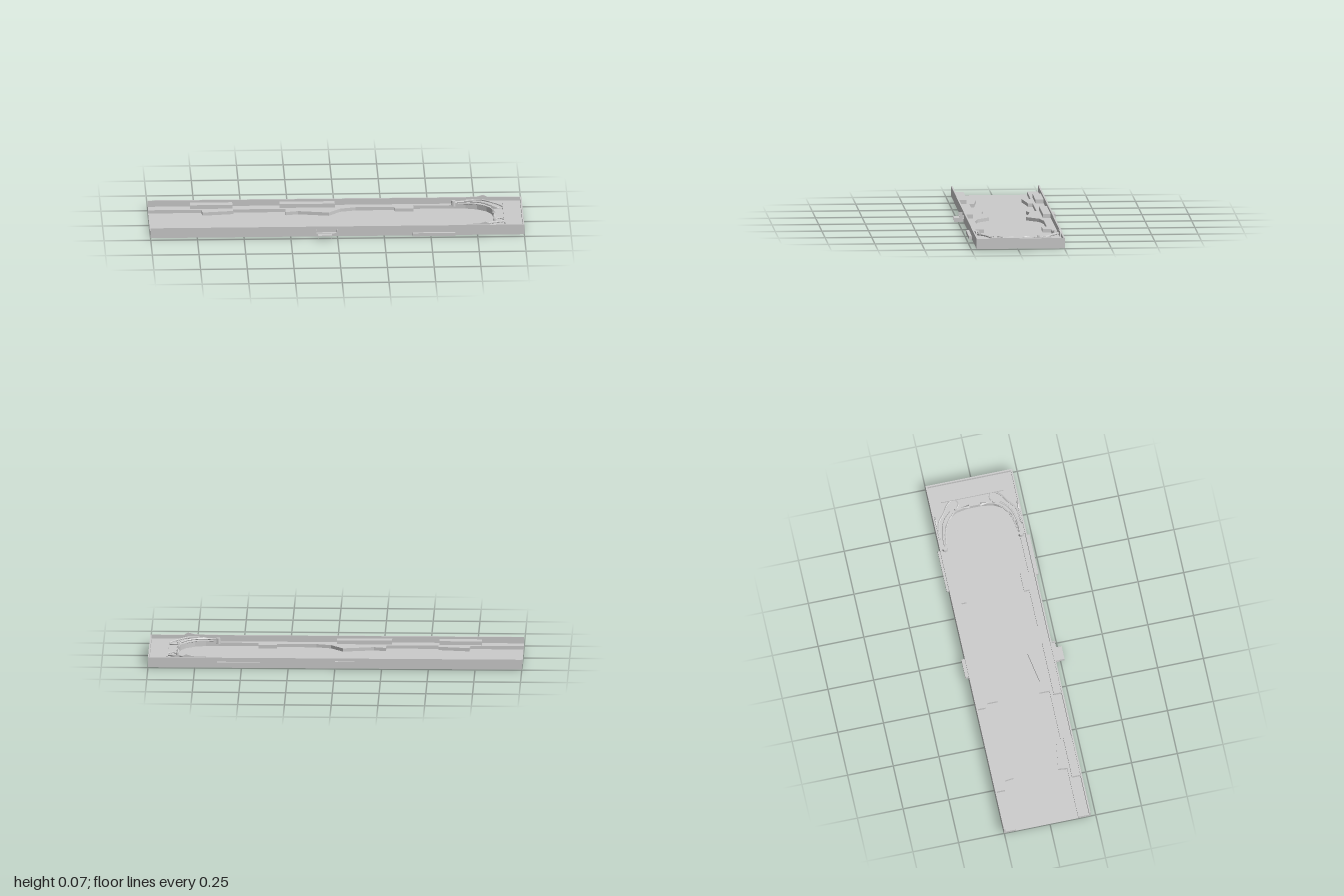
import * as THREE from 'three';

const HALF = 0.237; // half width of the tray
const FLOOR = 0.003;

export function createModel() {
  const model = new THREE.Group();
  model.name = 'canyonTray';
  const tray = new THREE.Group();
  tray.name = 'tray';
  tray.position.z = -0.015;
  model.add(tray);
  const mat = new THREE.MeshStandardMaterial({ color: 0xcccccc, flatShading: true, side: THREE.DoubleSide });

  const add = (name, geo) => {
    const mesh = new THREE.Mesh(geo, mat);
    mesh.name = name;
    tray.add(mesh);
    return mesh;
  };
  const box = (name, x0, x1, y0, y1, z0, z1) =>
    add(name, new THREE.BoxGeometry(x1 - x0, y1 - y0, Math.abs(z1 - z0))
      .translate((x0 + x1) / 2, (y0 + y1) / 2, (z0 + z1) / 2));
  // Plan outline of [x, z] points raised from y0 to y1
  const slab = (name, pts, y0, y1) => {
    const shape = new THREE.Shape(pts.map(([x, z]) => new THREE.Vector2(x, z)));
    const geo = new THREE.ExtrudeGeometry(shape, { depth: y1 - y0, bevelEnabled: false });
    return add(name, geo.rotateX(Math.PI / 2).translate(0, y1, 0));
  };
  const tube = (name, pts, radius) =>
    add(name, new THREE.TubeGeometry(
      new THREE.CatmullRomCurve3(pts.map((p) => new THREE.Vector3(...p))), 20, radius, 6));

  // Floor and the three walls; the -x end stays open
  box('floor', -1, 1, FLOOR, 0.006, -HALF, HALF);
  for (const s of [-1, 1]) box('sideWall', -1, 1, FLOOR, 0.058, s * HALF, s * (HALF - 0.008));
  box('endWall', 0.992, 1, FLOOR, 0.058, -HALF, HALF);

  // Terraced ledges along both sides
  const ledge = [
    [-1, 0.17], [-0.715, 0.17], [-0.71, 0.122], [-0.545, 0.145], [-0.545, 0.17], [-0.265, 0.17],
    [-0.265, 0.115], [-0.2, 0.13], [-0.035, 0.1], [0.03, 0.165], [0.11, 0.185], [0.32, 0.185],
    [0.32, 0.157], [0.42, 0.157], [0.42, 0.202], [0.64, 0.202],
  ];
  for (const s of [-1, 1]) {
    const m = (pts) => pts.map(([x, z]) => [x, s * z]);
    slab('sideLedge', m([...ledge, [0.64, HALF - 0.004], [-1, HALF - 0.004]]), FLOOR, 0.024);
    box('upperStep', -0.775, -0.548, 0.02, 0.045, s * 0.184, s * 0.233);
    box('upperStep', -0.295, 0, 0.02, 0.045, s * 0.187, s * 0.233);
  }

  // Raised end platform with a curved inner edge
  const arc = [[0.635, 0.202], [0.7, 0.197], [0.76, 0.18], [0.81, 0.145], [0.835, 0.1], [0.845, 0.04]];
  slab('endPlatform', [
    ...arc, ...arc.slice().reverse().map(([x, z]) => [x, -z]),
    [0.635, -HALF + 0.004], [0.995, -HALF + 0.004], [0.995, HALF - 0.004], [0.635, HALF - 0.004],
  ], FLOOR, 0.038);

  // Ribs, posts and spikes around the curved end
  for (const s of [-1, 1]) {
    tube('outerRib', [[0.635, 0.04, s * 0.205], [0.72, 0.045, s * 0.202], [0.79, 0.045, s * 0.178],
      [0.835, 0.042, s * 0.135]], 0.005);
    tube('innerRib', [[0.66, 0.033, s * 0.196], [0.73, 0.038, s * 0.184], [0.79, 0.038, s * 0.155],
      [0.825, 0.036, s * 0.122]], 0.004);
    tube('cornerBrace', [[0.7, 0.042, s * 0.222], [0.78, 0.05, s * 0.212], [0.83, 0.05, s * 0.175],
      [0.87, 0.045, s * 0.15], [0.9, 0.04, s * 0.12]], 0.005);
    tube('crossBrace', [[0.845, 0.042, s * 0.1], [0.87, 0.045, s * 0.085], [0.9, 0.042, s * 0.1]], 0.004);
    add('ribFoot', new THREE.CylinderGeometry(0.012, 0.014, 0.03, 8).translate(0.635, 0.033, s * 0.208));
    add('post', new THREE.CylinderGeometry(0.008, 0.01, 0.03, 8).translate(0.845, 0.036, s * 0.105));
    add('pointedMarker', new THREE.ConeGeometry(0.01, 0.05, 4)
      .rotateX(s * Math.PI / 2).translate(0.845, 0.04, s * 0.055));
    // Thin crest rising just above the wall
    const crest = new THREE.Shape([[0.69, 0.038], [0.69, 0.061], [0.76, 0.063], [0.795, 0.073],
      [0.815, 0.063], [0.82, 0.038]].map(([x, y]) => new THREE.Vector2(x, y)));
    add('wallCrest', new THREE.ExtrudeGeometry(crest, { depth: 0.006, bevelEnabled: false })
      .translate(0, 0, s * 0.225 - 0.003));
  }
  box('endBar', 0.895, 0.905, 0.036, 0.048, -0.172, 0.167);

  // Shelves and fins outside the walls
  const o = HALF;
  box('frontUpperShelf', -0.115, 0, 0.023, 0.026, o, o + 0.019);
  box('frontLowerShelf', -0.105, -0.03, 0.02, 0.023, o, o + 0.05);
  for (const x of [-0.113, -0.004]) box('frontFin', x, x + 0.003, 0.023, 0.043, o, o + 0.021);
  for (const x of [-0.105, -0.033]) box('frontLowerFin', x, x + 0.003, FLOOR, 0.024, o, o + 0.05);
  box('frontLongShelf', 0.4, 0.63, FLOOR, 0.02, o, o + 0.016);
  box('backShelf', -0.105, 0, 0.023, 0.043, -o, -o - 0.018);
  box('backLongShelf', 0.4, 0.63, 0.018, 0.036, -o, -o - 0.012);

  // Small nubs under the base
  for (const z of [0.117, -0.12]) box('baseNub', 0.905, 0.915, 0, 0.004, z - 0.005, z + 0.005);

  return model;
}
